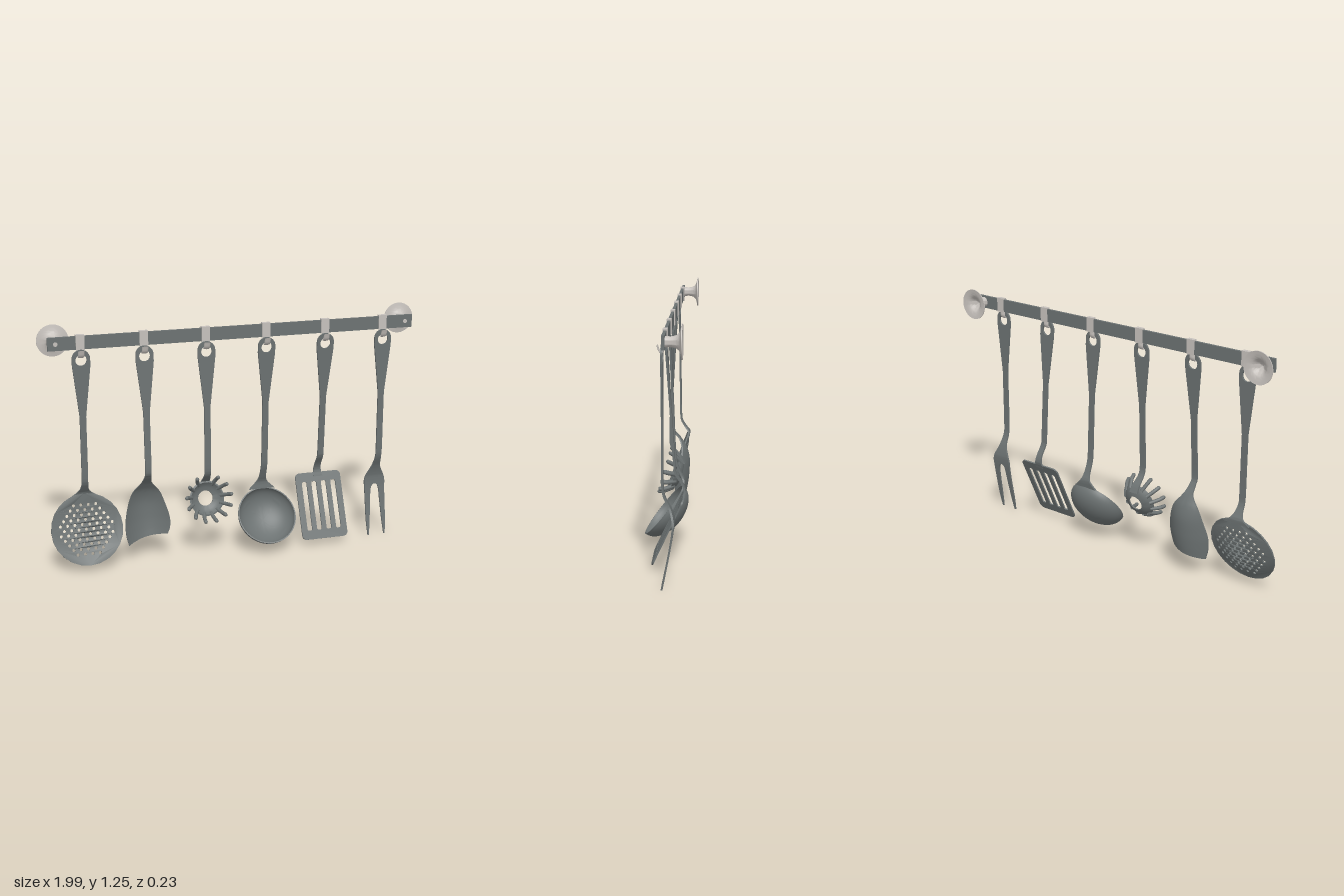
import * as THREE from 'three';
import { toCreasedNormals } from 'three/addons/utils/BufferGeometryUtils.js';

const steel = new THREE.MeshStandardMaterial({ color: 0x6c7272, side: THREE.DoubleSide });
steel.name = 'dark steel';
const chrome = new THREE.MeshStandardMaterial({ color: 0xc6c1bc, side: THREE.DoubleSide });
chrome.name = 'pale chrome';
const V2 = (x, y) => new THREE.Vector2(x, y);
const V3 = (x, y, z) => new THREE.Vector3(x, y, z);

function add(parent, name, geometry, material = steel, x = 0, y = 0, z = 0) {
  const m = new THREE.Mesh(geometry, material);
  m.name = name;
  m.position.set(x, y, z);
  parent.add(m);
  return m;
}

// Bent strip through rows of [y, z, halfWidth, centreX, arch, skew], top to bottom
function strip(rows, thick = 0.01, across = 2) {
  const path = new THREE.CatmullRomCurve3(rows.map(r => V3(r[3] || 0, r[0], r[1])), false, 'catmullrom', 0.5);
  const form = new THREE.CatmullRomCurve3(rows.map(r => V3(r[2], r[4] || 0, r[5] || 0)), false, 'catmullrom', 0.5);
  const n = (rows.length - 1) * 6, loop = 2 * across + 2, pos = [], idx = [];
  for (let i = 0; i <= n; i++) {
    const c = path.getPoint(i / n), f = form.getPoint(i / n);
    for (let j = 0; j < loop; j++) {
      const front = j <= across;
      const u = 2 * (front ? j : loop - 1 - j) / across - 1;
      pos.push(c.x + u * f.x, c.y + f.z * u, c.z + f.y * u * u + (front ? thick : -thick) / 2);
      if (i < n) {
        const a = i * loop + j, b = i * loop + (j + 1) % loop;
        idx.push(a, a + loop, b, b, a + loop, b + loop);
      }
    }
  }
  for (let j = 0; j < across; j++) {
    const k = loop - 1 - j, e = n * loop;
    idx.push(j, j + 1, k, j + 1, k - 1, k);
    idx.push(e + j, e + k, e + j + 1, e + j + 1, e + k, e + k - 1);
  }
  const g = new THREE.BufferGeometry();
  g.setAttribute('position', new THREE.Float32BufferAttribute(pos, 3));
  g.setIndex(idx);
  return toCreasedNormals(g, 0.7);
}

function plate(shape, depth) {
  const g = new THREE.ExtrudeGeometry(shape, { depth, bevelEnabled: false, curveSegments: 24 });
  return g.translate(0, 0, -depth / 2);
}

function circleHole(shape, x, y, r) {
  shape.holes.push(new THREE.Path().absarc(x, y, r, 0, Math.PI * 2, true));
}

function slab(x0, y0, x1, y1, r, Type = THREE.Shape) {
  return new Type().moveTo(x0 + r, y0).lineTo(x1 - r, y0).absarc(x1 - r, y0 + r, r, -Math.PI / 2, 0)
    .lineTo(x1, y1 - r).absarc(x1 - r, y1 - r, r, 0, Math.PI / 2)
    .lineTo(x0 + r, y1).absarc(x0 + r, y1 - r, r, Math.PI / 2, Math.PI)
    .lineTo(x0, y0 + r).absarc(x0 + r, y0 + r, r, Math.PI, Math.PI * 1.5);
}

// Handle with hanging eye, leaning to depth zRod at y = 0.5, followed by its neck rows
function utensil(parent, name, x, zRod, neck) {
  const g = new THREE.Group();
  g.name = name;
  g.position.x = x;
  parent.add(g);
  const lean = y => -0.013 + (zRod + 0.013) * (1.1 - y) / 0.6;
  const s = new THREE.Shape().moveTo(-0.016, 0.8).lineTo(0.016, 0.8).lineTo(0.045, 1.06)
    .lineTo(0.045, 1.095).absarc(0, 1.095, 0.045, 0, Math.PI).lineTo(-0.045, 1.06);
  circleHole(s, 0, 1.088, 0.028);
  const top = plate(s, 0.01), p = top.attributes.position;
  for (let i = 0; i < p.count; i++) p.setZ(i, p.getZ(i) + lean(p.getY(i)));
  top.computeVertexNormals();
  add(g, 'handle', top);
  const rod = [0.8, 0.65, 0.5].map(y => [y, lean(y), 0.016]);
  add(g, 'rod', strip([...rod, ...neck]));
  return g;
}

function skimmer(parent, x) {
  const g = utensil(parent, 'skimmer', x, -0.022,
    [[0.45, -0.027, 0.016], [0.41, -0.05, 0.022], [0.385, -0.067, 0.038], [0.36, -0.068, 0.075]]);
  const R = 0.184, s = new THREE.Shape().absarc(0, 0, R, 0, Math.PI * 2);
  for (let row = -5; row <= 5; row++) {
    for (let col = -4; col <= 4; col++) {
      const hx = (col + (row % 2 ? 0.5 : 0)) * 0.038, hy = row * 0.025;
      if (Math.hypot(hx, hy) < 0.14) circleHole(s, hx, hy, 0.008);
    }
  }
  const geo = new THREE.ExtrudeGeometry(s, { depth: 0.008, bevelEnabled: false, curveSegments: 12 });
  const p = geo.attributes.position;
  for (let i = 0; i < p.count; i++) {
    const r = Math.hypot(p.getX(i), p.getY(i)) / R;
    p.setZ(i, p.getZ(i) - 0.004 - 0.03 * (1 - r * r));
  }
  add(g, 'perforatedDish', toCreasedNormals(geo, 0.6), steel, 0, 0.208, -0.006).rotation.x = -0.34;
}

function spatula(parent, x) {
  const g = utensil(parent, 'spatula', x, 0.02, [[0.46, 0.005, 0.017], [0.42, -0.03, 0.025]]);
  add(g, 'curvedBlade', strip([[0.43, -0.022, 0.02], [0.4, -0.045, 0.04, 0, 0.006], [0.36, -0.068, 0.072, 0, 0.02],
    [0.3, -0.082, 0.096, 0, 0.04], [0.22, -0.08, 0.116, 0, 0.058, 0.006], [0.16, -0.073, 0.115, 0, 0.06, 0.014],
    [0.112, -0.064, 0.102, 0, 0.05, 0.023]], 0.008, 14));
}

function pastaServer(parent, x) {
  const g = utensil(parent, 'pastaServer', x, 0.002,
    [[0.45, -0.002, 0.016], [0.42, -0.02, 0.018], [0.39, -0.05, 0.022], [0.355, -0.071, 0.025]]);
  const head = new THREE.Group();
  head.name = 'clawHead';
  head.position.set(0, 0.292, -0.057);
  head.rotation.x = 1.29;
  g.add(head);
  const outer = [V2(0.04, 0), V2(0.062, 0.007), V2(0.08, 0.02), V2(0.092, 0.036)];
  const inner = [V2(0.084, 0.038), V2(0.073, 0.025), V2(0.058, 0.015), V2(0.04, 0.008), V2(0.04, 0)];
  add(head, 'bowl', toCreasedNormals(new THREE.LatheGeometry([...outer, ...inner], 40), 0.7));
  // Twelve teeth, leaving the thirteenth place for the handle
  for (let k = 1; k <= 12; k++) {
    const a = k * Math.PI * 2 / 13;
    const pts = [[0.078, 0.022], [0.095, 0.042], [0.112, 0.066], [0.12, 0.088]]
      .map(([r, h]) => V3(r * Math.sin(a), h, -r * Math.cos(a)));
    add(head, 'tooth', new THREE.TubeGeometry(new THREE.CatmullRomCurve3(pts), 8, 0.01, 8));
    add(head, 'toothTip', new THREE.SphereGeometry(0.01, 8, 6), steel, pts[3].x, pts[3].y, pts[3].z);
  }
}

function ladle(parent, x) {
  const g = utensil(parent, 'ladle', x, -0.038,
    [[0.44, -0.045, 0.016], [0.38, -0.068, 0.018], [0.345, -0.083, 0.03], [0.305, -0.08, 0.07]]);
  const pts = [];
  for (let i = 0; i <= 16; i++) {
    const a = i / 16 * Math.PI / 2;
    pts.push(V2(0.156 * Math.sin(a), -0.1 * Math.cos(a)));
  }
  for (let i = 16; i >= 0; i--) {
    const a = i / 16 * Math.PI / 2;
    pts.push(V2(0.15 * Math.sin(a), -0.094 * Math.cos(a)));
  }
  add(g, 'ladleBowl', toCreasedNormals(new THREE.LatheGeometry(pts, 48), 0.7), steel, 0, 0.19, 0.017).rotation.x = 0.903;
}

function slottedTurner(parent, x) {
  const g = utensil(parent, 'slottedTurner', x, -0.053,
    [[0.46, -0.06, 0.016], [0.41, -0.092, 0.017], [0.375, -0.102, 0.02], [0.34, -0.091, 0.026]]);
  const s = slab(-0.127, -0.178, 0.127, 0.178, 0.025);
  for (const sx of [-0.081, -0.027, 0.027, 0.081])
    s.holes.push(slab(sx - 0.014, -0.13, sx + 0.014, 0.13, 0.008, THREE.Path));
  add(g, 'slottedBlade', plate(s, 0.008), steel, 0, 0.198, -0.025).rotation.x = -0.432;
}

function fork(parent, x) {
  const g = utensil(parent, 'carvingFork', x, -0.015,
    [[0.44, -0.022, 0.016], [0.38, -0.05, 0.024], [0.33, -0.064, 0.048], [0.3, -0.065, 0.057], [0.275, -0.063, 0.058]]);
  for (const s of [-1, 1])
    add(g, 'tine', strip([[0.28, -0.063, 0.029, s * 0.029], [0.255, -0.06, 0.018, s * 0.039],
      [0.18, -0.048, 0.014, s * 0.042], [0.08, -0.029, 0.01, s * 0.045], [0, -0.013, 0.003, s * 0.046]], 0.009));
}

// Trumpet-shaped wall mount with a hollow back
function wallMount(parent, x) {
  const out = new THREE.SplineCurve([V2(0.026, 0), V2(0.024, 0.025), V2(0.03, 0.05), V2(0.046, 0.065), V2(0.08, 0.073)]).getPoints(20);
  const hollow = new THREE.SplineCurve([V2(0.08, 0.078), V2(0.044, 0.07), V2(0.021, 0.048), V2(0, 0.034)]).getPoints(15);
  const geo = toCreasedNormals(new THREE.LatheGeometry([V2(0, 0), ...out, ...hollow], 40), 0.7);
  add(parent, 'wallMount', geo, chrome, x, 1.173, -0.035).rotation.x = -Math.PI / 2;
  add(parent, 'screw', new THREE.CylinderGeometry(0.011, 0.011, 0.004, 16).rotateX(Math.PI / 2), chrome, x, 1.173, -0.02);
}

// Clip around the rail with a J-shaped hook below
function hook(parent, x) {
  const g = new THREE.Group();
  g.name = 'hook';
  g.position.x = x;
  parent.add(g);
  add(g, 'clip', new THREE.BoxGeometry(0.043, 0.076, 0.022), chrome, 0, 1.175, -0.028);
  const curve = new THREE.CatmullRomCurve3([V3(0, 1.14, -0.02), V3(0, 1.115, -0.021), V3(0, 1.103, -0.012),
    V3(0, 1.113, -0.001), V3(0, 1.137, 0.008)]);
  add(g, 'hookCurve', new THREE.TubeGeometry(curve, 20, 0.004, 8), chrome).scale.x = 4;
}

export function createModel() {
  const model = new THREE.Group();
  model.name = 'utensilRack';
  add(model, 'rail', new THREE.BoxGeometry(1.91, 0.066, 0.014), steel, 0, 1.173, -0.028);
  for (const s of [-1, 1]) wallMount(model, s * 0.916);
  [skimmer, spatula, pastaServer, ladle, slottedTurner, fork].forEach((make, i) => {
    const x = -0.795 + i * 0.317;
    hook(model, x);
    make(model, x);
  });
  return model;
}
